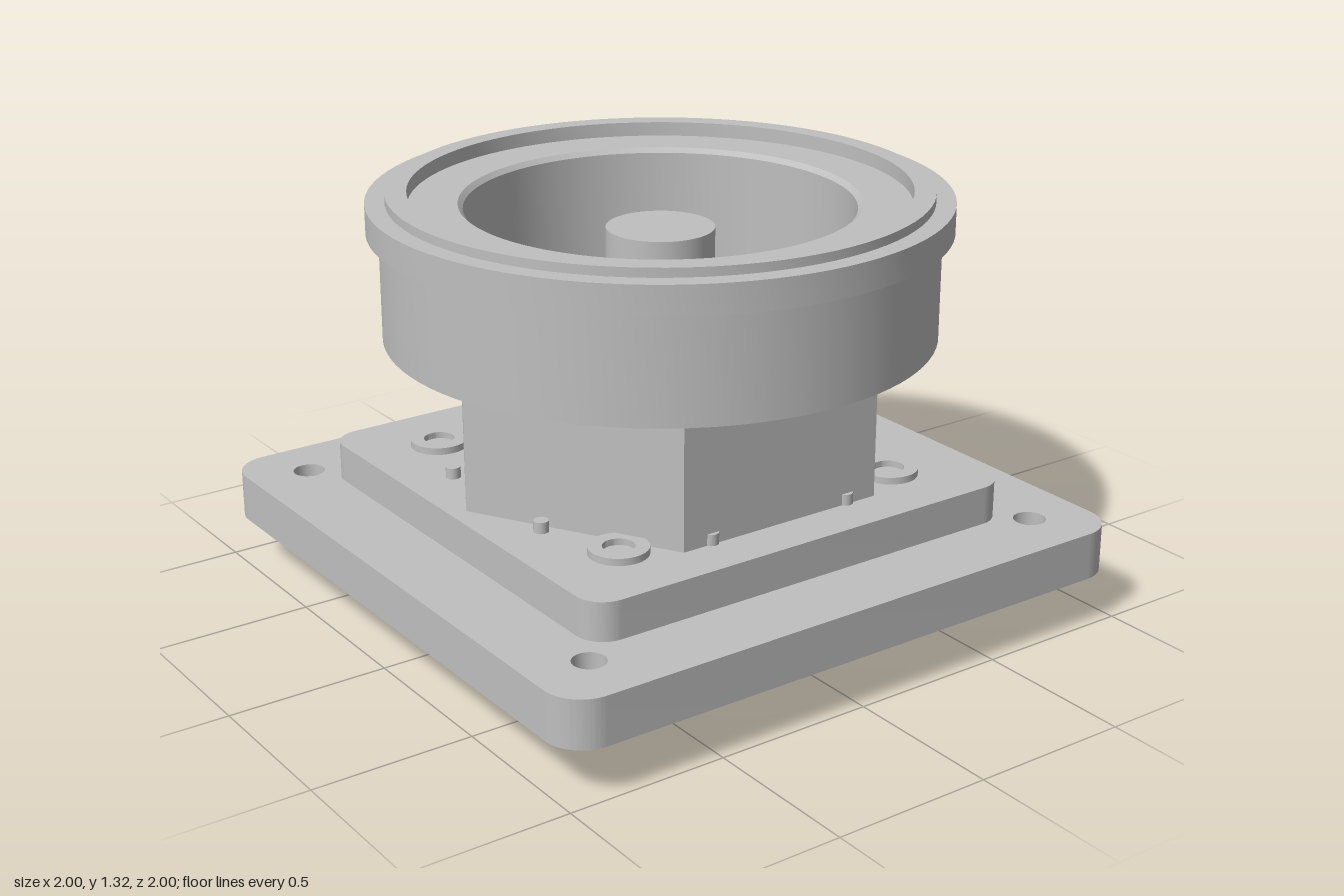
import * as THREE from 'three';
import { toCreasedNormals } from 'three/addons/utils/BufferGeometryUtils.js';

const metal = new THREE.MeshStandardMaterial({ color: 0xbfbfbf });
metal.name = 'grey metal';

function add(parent, name, geometry, x = 0, y = 0, z = 0) {
  const mesh = new THREE.Mesh(geometry, metal);
  mesh.name = name;
  mesh.position.set(x, y, z);
  parent.add(mesh);
  return mesh;
}

// Turned part from [radius, height] pairs, with crisp edges
function turned(profile, segments = 72) {
  const points = profile.map(([r, y]) => new THREE.Vector2(r, y));
  return toCreasedNormals(new THREE.LatheGeometry(points, segments), 0.6);
}

// Upright extrusion of a flat outline
function slab(shape, height) {
  const geo = new THREE.ExtrudeGeometry(shape, { depth: height, bevelEnabled: false, curveSegments: 16 });
  geo.rotateX(-Math.PI / 2);
  return toCreasedNormals(geo, 0.6);
}

function roundedSquare(half, r) {
  const s = new THREE.Shape();
  const c = half - r;
  s.absarc(c, c, r, 0, Math.PI / 2);
  s.absarc(-c, c, r, Math.PI / 2, Math.PI);
  s.absarc(-c, -c, r, Math.PI, Math.PI * 1.5);
  s.absarc(c, -c, r, Math.PI * 1.5, Math.PI * 2);
  s.closePath();
  return s;
}

function cutHole(shape, x, y, r) {
  shape.holes.push(new THREE.Path().absarc(x, y, r, 0, Math.PI * 2, true));
}

export function createModel() {
  const model = new THREE.Group();
  model.name = 'flangedHousing';
  const corners = [[1, 1], [-1, 1], [-1, -1], [1, -1]];

  // Spigot under the flange, with a blind bore
  add(model, 'lowerSpigot', turned([[0, 0.16], [0.205, 0.16], [0.205, 0], [0.53, 0], [0.53, 0.16]]));

  // Square mounting flange with four through holes
  const flange = roundedSquare(1, 0.12);
  corners.forEach(([sx, sz]) => cutHole(flange, sx * 0.81, sz * 0.81, 0.05));
  add(model, 'mountingFlange', slab(flange, 0.15), 0, 0.16);

  // Smaller raised plate
  add(model, 'raisedPlate', slab(roundedSquare(0.757, 0.09), 0.12), 0, 0.31);

  // Hexagonal neck, hollow for the shaft
  const hex = new THREE.Shape();
  for (let i = 0; i < 6; i++) {
    const a = (i * Math.PI) / 3;
    hex[i ? 'lineTo' : 'moveTo'](0.704 * Math.cos(a), 0.704 * Math.sin(a));
  }
  hex.closePath();
  cutHole(hex, 0, 0, 0.305);
  add(model, 'hexNeck', slab(hex, 0.435), 0, 0.43);

  // Drum with rim, raised lip, shallow recess and deep bore
  add(model, 'drum', turned([
    [0.305, 0.865], [0.843, 0.865], [0.843, 1.197], [0.88, 1.197], [0.88, 1.287],
    [0.82, 1.287], [0.82, 1.315], [0.755, 1.315], [0.755, 1.27], [0.605, 1.27],
    [0.59, 1.255], [0.59, 0.87], [0.305, 0.87], [0.305, 0.865],
  ], 96));

  // Stepped shaft in the middle of the bore
  add(model, 'shaft', turned([
    [0.305, 0.72], [0.215, 0.72], [0.215, 0.82], [0.165, 0.82], [0.165, 1.185], [0, 1.185],
  ]));

  // Ring washers at the corners of the raised plate
  const washer = turned([[0.09, 0], [0.09, 0.022], [0.048, 0.022], [0.048, 0.002], [0, 0.002]], 32);
  corners.forEach(([sx, sz]) => add(model, 'washer', washer, sx * 0.502, 0.43, sz * 0.502));

  // Eight small pins around the neck
  const pin = new THREE.CylinderGeometry(0.023, 0.023, 0.035, 20);
  for (let i = 0; i < 8; i++) {
    const a = ((i + 0.5) * Math.PI) / 4;
    add(model, 'pin', pin, 0.65 * Math.cos(a), 0.4475, 0.65 * Math.sin(a));
  }
  return model;
}
